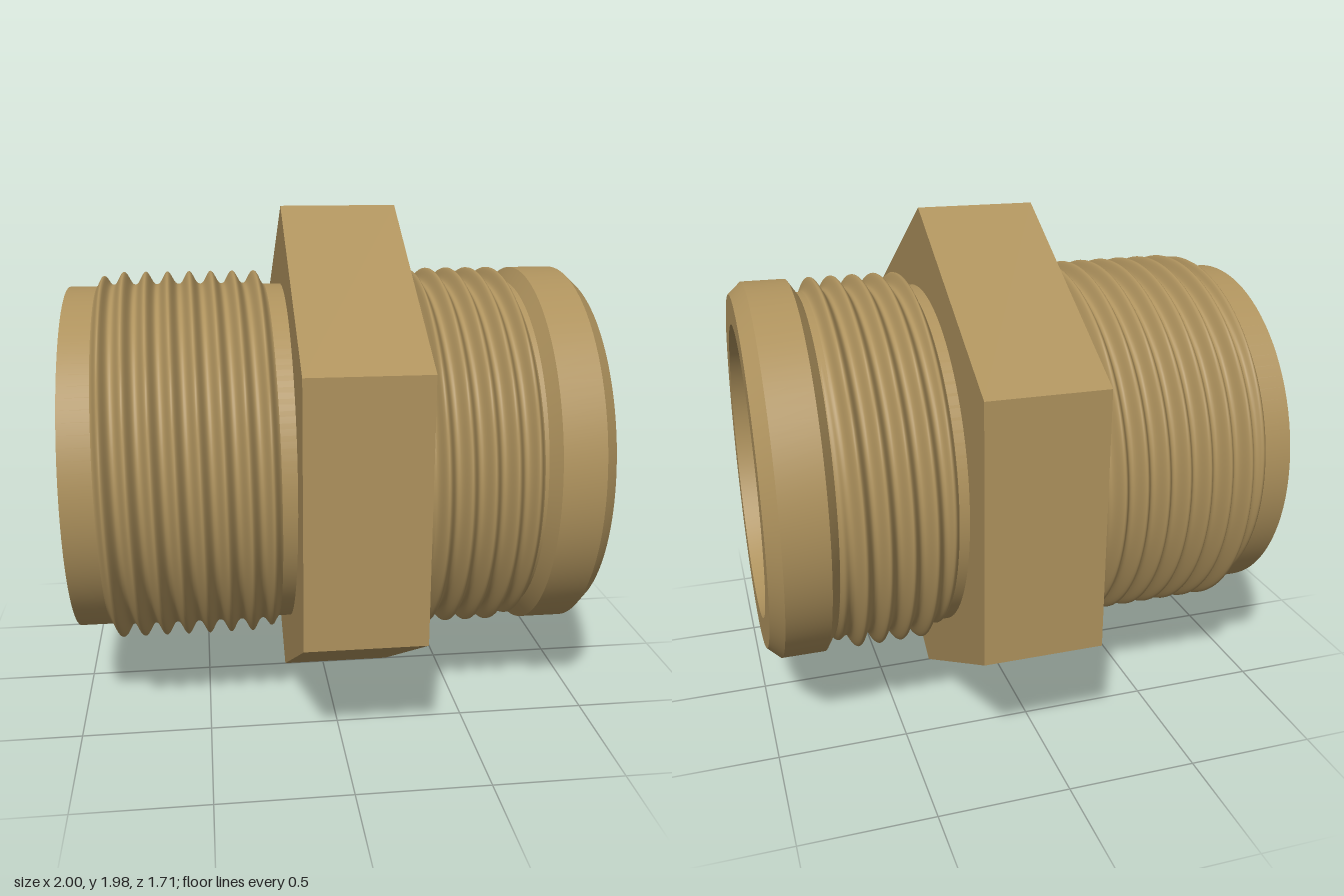
import * as THREE from 'three';
import { toCreasedNormals } from 'three/addons/utils/BufferGeometryUtils.js';

const AXIS_Y = 0.99; // height of the fitting's axis
const SEGMENTS = 96;

const brass = new THREE.MeshStandardMaterial({ color: 0xae925d });
const dark = new THREE.MeshStandardMaterial({ color: 0x141416 });

// Revolve [x, radius] points about the x axis; edges over 25 degrees stay sharp
function revolve(points) {
  const geometry = new THREE.LatheGeometry(points.map(([x, r]) => new THREE.Vector2(r, x)), SEGMENTS);
  geometry.rotateZ(-Math.PI / 2);
  return toCreasedNormals(geometry, 0.42);
}

// Helical thread: a tube whose radius follows a rounded crest, fading out at both ends
function threadGeometry({ start, end, fadeIn, fadeOut, crest, pitch }) {
  const rows = Math.round((end - start) / pitch * 16);
  const geometry = new THREE.CylinderGeometry(1, 1, end - start, SEGMENTS, rows, true);
  geometry.rotateZ(-Math.PI / 2);
  geometry.translate((start + end) / 2, 0, 0);
  const pos = geometry.attributes.position;
  const normal = geometry.attributes.normal;
  const radiusAt = (x, angle) => {
    const phase = 2 * Math.PI * (x - crest) / pitch - angle;
    const ridge = Math.pow(0.5 + 0.5 * Math.cos(phase), 1.25);
    const fade = THREE.MathUtils.smoothstep(x, start, fadeIn)
      * (1 - THREE.MathUtils.smoothstep(x, fadeOut, end));
    return 0.675 + fade * (0.012 + 0.05 * ridge);
  };
  const n = new THREE.Vector3();
  const e = 0.001;
  for (let i = 0; i < pos.count; i++) {
    const x = pos.getX(i);
    const a = Math.atan2(pos.getZ(i), pos.getY(i));
    const r = radiusAt(x, a);
    pos.setXYZ(i, x, r * Math.cos(a), r * Math.sin(a));
    // Exact slope of the ridge gives smooth normals across the seam
    const dx = (radiusAt(x + e, a) - radiusAt(x - e, a)) / (2 * e);
    const da = (radiusAt(x, a + e) - radiusAt(x, a - e)) / (2 * e * r);
    n.set(-dx, Math.cos(a) + da * Math.sin(a), Math.sin(a) - da * Math.cos(a)).normalize();
    normal.setXYZ(i, n.x, n.y, n.z);
  }
  return geometry;
}

// Hexagonal nut with a corner at the top and a round hole for the sleeve
function nutGeometry(x0, x1, radius) {
  const corners = [];
  for (let i = 0; i < 6; i++) {
    const a = Math.PI / 2 + i * Math.PI / 3;
    corners.push(new THREE.Vector2(radius * Math.cos(a), radius * Math.sin(a)));
  }
  const shape = new THREE.Shape(corners);
  shape.holes.push(new THREE.Path().absarc(0, 0, 0.65, 0, Math.PI * 2, true));
  const geometry = new THREE.ExtrudeGeometry(shape, { depth: x1 - x0, bevelEnabled: false, curveSegments: 48 });
  geometry.rotateY(Math.PI / 2);
  geometry.translate(x0, 0, 0);
  return geometry;
}

export function createModel() {
  const model = new THREE.Group();
  model.name = 'threadedPipeFitting';
  const add = (name, geometry, material = brass) => {
    const mesh = new THREE.Mesh(geometry, material);
    mesh.name = name;
    mesh.position.y = AXIS_Y;
    model.add(mesh);
  };

  // Hollow sleeve with the chamfered collar and the bore, as one closed profile
  add('sleeve', revolve([
    [-1, 0.615], [-1, 0.682], [0.75, 0.682], [0.785, 0.735], [0.95, 0.735], [1, 0.69],
    [1, 0.575], [0.84, 0.567], [-0.96, 0.575], [-1, 0.615],
  ]));

  add('hexNut', nutGeometry(-0.167, 0.283, 0.99));

  add('longThread', threadGeometry({
    start: -0.905, end: -0.195, fadeIn: -0.85, fadeOut: -0.265, crest: -0.785, pitch: 0.0855,
  }));
  add('shortThread', threadGeometry({
    start: 0.31, end: 0.765, fadeIn: 0.36, fadeOut: 0.69, crest: 0.435, pitch: 0.0845,
  }));

  // Dark disc closing the bore behind the collar
  const disc = new THREE.CylinderGeometry(0.57, 0.57, 0.04, SEGMENTS);
  disc.rotateZ(-Math.PI / 2);
  disc.translate(0.82, 0, 0);
  add('sealDisc', disc, dark);

  return model;
}
